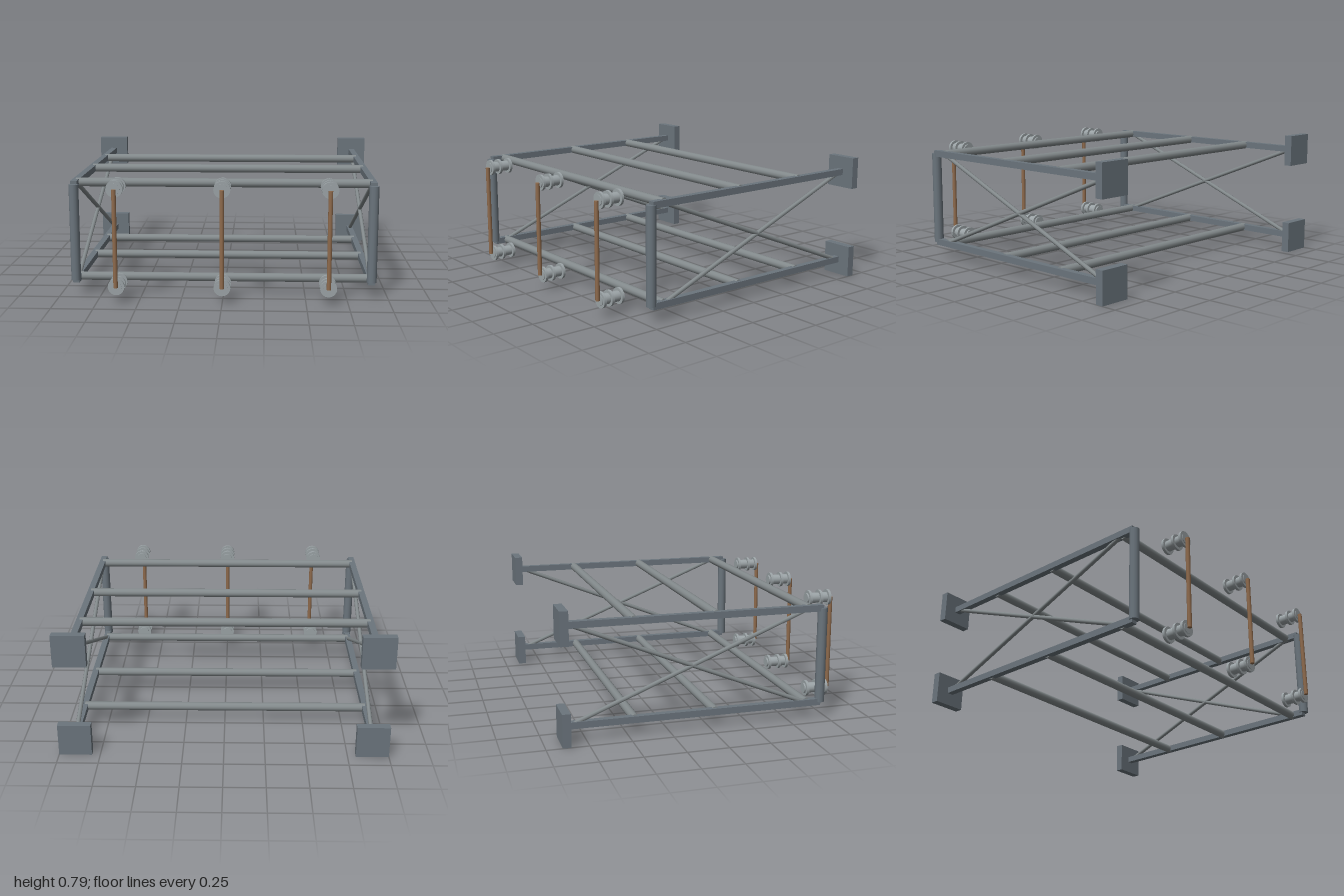
import * as THREE from 'three';

const mat = (name, color) => {
  const m = new THREE.MeshStandardMaterial({ color });
  m.name = name;
  return m;
};

export function createModel() {
  const slate = mat('slate steel', 0x6b757d);
  const grey = mat('grey steel', 0x838a8c);
  const pale = mat('pale ceramic', 0x9ba3a6);
  const copper = mat('copper brown', 0x8f6b4d);

  const model = new THREE.Group();
  model.name = 'bracketFrame';
  const low = 0.1, high = 0.69, levels = [low, high], sides = [-0.9, 0.9];

  function add(name, geometry, material, x, y, z) {
    const mesh = new THREE.Mesh(geometry, material);
    mesh.name = name;
    mesh.position.set(x, y, z);
    model.add(mesh);
    return mesh;
  }

  // Round rod between two points
  function rod(name, a, b, radius, material, segments = 12) {
    const from = new THREE.Vector3(...a), to = new THREE.Vector3(...b);
    const dir = to.clone().sub(from);
    const mid = from.add(to).multiplyScalar(0.5);
    const mesh = add(name, new THREE.CylinderGeometry(radius, radius, dir.length(), segments),
      material, mid.x, mid.y, mid.z);
    mesh.quaternion.setFromUnitVectors(new THREE.Vector3(0, 1, 0), dir.normalize());
  }

  // Side frames: wall plates, square beams, front post and crossed braces
  for (const x of sides) {
    for (const y of levels) {
      add('wallPlate', new THREE.BoxGeometry(0.2, 0.2, 0.05), slate, Math.sign(x) * 0.9, y, -0.88);
      add('sideBeam', new THREE.BoxGeometry(0.04, 0.04, 1.565), slate, x, y, -0.0725);
    }
    rod('frontPost', [x, low, 0.711], [x, high, 0.711], 0.03, slate);
    rod('brace', [x, high, 0.62], [x, low, -0.84], 0.0135, grey, 8);
    rod('brace', [x, low, 0.62], [x, high, -0.84], 0.0135, grey, 8);
  }

  // Crossbars joining the two sides
  for (const y of levels)
    for (const z of [0.62, 0.036, -0.46])
      rod('crossbar', [-0.9, y, z], [0.9, y, z], 0.027, grey);

  // Insulators with three discs each, and the wires they carry
  for (const x of [-0.63, 0, 0.63]) {
    for (const y of levels) {
      rod('insulatorBody', [x, y, 0.722], [x, y, 0.88], 0.033, pale, 16);
      for (const z of [0.74, 0.812, 0.868])
        rod('insulatorDisc', [x, y, z - 0.008], [x, y, z + 0.008], 0.05, pale, 20);
    }
    rod('wire', [x, low, 0.891], [x, high, 0.891], 0.0135, copper, 10);
  }
  return model;
}
